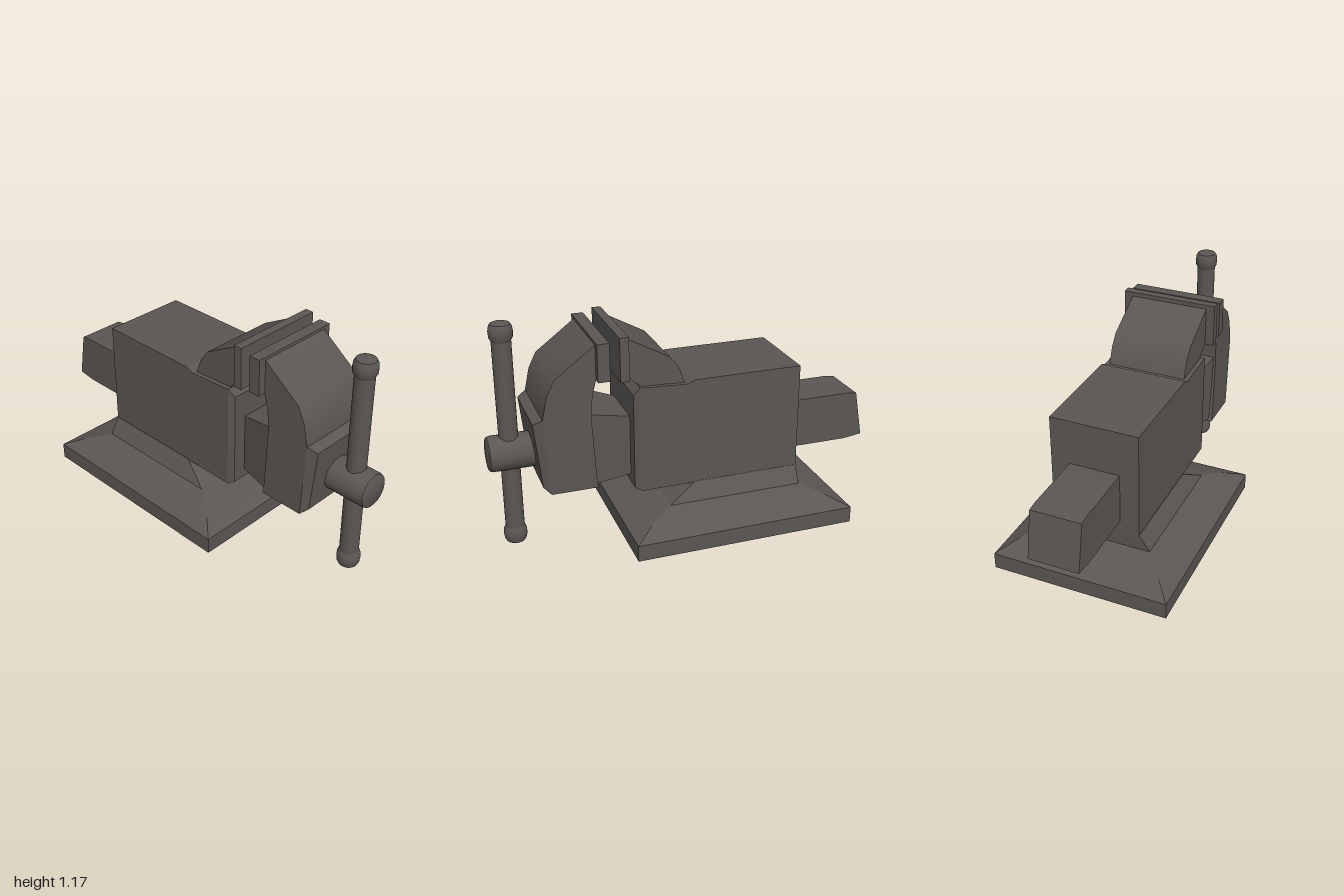
import * as THREE from 'three';
import { toCreasedNormals } from 'three/addons/utils/BufferGeometryUtils.js';

const castIron = new THREE.MeshStandardMaterial({ color: 0x5a5653 });
castIron.name = 'castIron';

// Rectangle facing +z; the top and bottom edges may sit at different depths
const ringZ = (w, y0, y1, zBottom, zTop = zBottom) => [
  [-w, y0, zBottom], [w, y0, zBottom], [w, y1, zTop], [-w, y1, zTop],
];
// Rectangle facing +y
const ringY = (w, z0, z1, y) => [[-w, y, z1], [w, y, z1], [w, y, z0], [-w, y, z0]];

// Skin a row of four-cornered rings and cap both ends
function loft(rings, crease = 0.2) {
  const pos = [];
  const quad = (a, b, c, d) => pos.push(...a, ...b, ...c, ...a, ...c, ...d);
  for (let r = 0; r < rings.length - 1; r++) {
    for (let i = 0; i < 4; i++) {
      const j = (i + 1) % 4;
      quad(rings[r][i], rings[r][j], rings[r + 1][j], rings[r + 1][i]);
    }
  }
  const first = rings[0], last = rings[rings.length - 1];
  quad(first[3], first[2], first[1], first[0]);
  quad(...last);
  const g = new THREE.BufferGeometry();
  g.setAttribute('position', new THREE.Float32BufferAttribute(pos, 3));
  g.computeVertexNormals();
  return toCreasedNormals(g, crease);
}

// Extrude a side profile of [z, y] points across the width
function profile(points, halfWidth) {
  const shape = new THREE.Shape(points.map(([z, y]) => new THREE.Vector2(z, y)));
  const g = new THREE.ExtrudeGeometry(shape, { depth: halfWidth * 2, bevelEnabled: false });
  g.translate(0, 0, -halfWidth).rotateY(-Math.PI / 2);
  return toCreasedNormals(g, 0.5);
}

// Turned part from [radius, height] points
function turned(points) {
  const g = new THREE.LatheGeometry(points.map(([r, y]) => new THREE.Vector2(r, y)), 32);
  return toCreasedNormals(g, 0.6);
}

export function createModel() {
  const vise = new THREE.Group();
  vise.name = 'benchVise';
  const add = (name, geometry, x = 0, y = 0, z = 0) => {
    const mesh = new THREE.Mesh(geometry, castIron);
    mesh.name = name;
    mesh.position.set(x, y, z);
    vise.add(mesh);
    return mesh;
  };

  // Mounting plate with a sloped shoulder
  add('base', loft([
    ringY(0.46, -0.78, 0.375, 0.03),
    ringY(0.46, -0.78, 0.375, 0.115),
    ringY(0.355, -0.65, 0.255, 0.175),
    ringY(0.285, -0.565, 0.155, 0.205),
  ], 0.25));

  // Neck between the plate and the body
  add('pedestal', loft([
    ringY(0.285, -0.56, 0.155, 0.2),
    ringY(0.23, -0.565, 0, 0.29),
  ]));

  // Body with a lowered front deck and a bevelled nose
  add('body', loft([
    ringZ(0.228, 0.285, 0.845, -0.565),
    ringZ(0.228, 0.285, 0.845, 0),
    ringZ(0.228, 0.285, 0.828, 0.035),
    ringZ(0.228, 0.285, 0.84, 0.28),
    ringZ(0.21, 0.3, 0.8, 0.31),
  ]));

  // Fixed jaw
  add('fixedJaw', profile([
    [0.04, 0.815], [0.28, 0.815], [0.28, 0.848], [0.34, 0.9], [0.34, 1.09],
    [0.12, 0.97], [0.075, 0.91],
  ], 0.205));
  add('fixedJawPlate', new THREE.BoxGeometry(0.5, 0.22, 0.045), 0, 1.0, 0.36);

  // Moving jaw
  add('movingJaw', profile([
    [0.49, 0.333], [0.73, 0.333], [0.755, 0.73], [0.73, 0.845], [0.69, 0.925],
    [0.49, 1.075], [0.49, 0.9], [0.51, 0.82], [0.52, 0.72], [0.5, 0.35],
  ], 0.205));
  add('movingJawPlate', new THREE.BoxGeometry(0.49, 0.19, 0.06), 0, 0.995, 0.46);
  add('jawFrontPad', loft([
    ringZ(0.205, 0.333, 0.73, 0.73, 0.755),
    ringZ(0.18, 0.365, 0.705, 0.765, 0.8),
  ]));

  // Sliding bar, flared toward the moving jaw and passing out of the back
  add('slideFront', loft([
    ringZ(0.135, 0.345, 0.655, 0.29),
    ringZ(0.195, 0.345, 0.725, 0.53),
  ]));
  add('slideRear', profile([
    [-0.55, 0.345], [-0.9, 0.345], [-1, 0.358], [-0.955, 0.603], [-0.9, 0.61], [-0.55, 0.61],
  ].reverse(), 0.13));

  // Screw head
  const screw = add('screwHead', turned([
    [0, 0], [0.09, 0], [0.09, 0.225], [0.086, 0.238], [0.075, 0.245], [0, 0.245],
  ]), 0, 0.5, 0.755);
  screw.rotation.x = Math.PI / 2;

  // Turning handle with a knob at each end
  add('handle', new THREE.CylinderGeometry(0.048, 0.048, 1.03, 32, 1, true), 0, 0.583, 0.888);
  const knob = turned([
    [0.048, 0], [0.057, 0.018], [0.059, 0.045], [0.056, 0.068], [0.048, 0.083], [0.036, 0.088], [0, 0.088],
  ]);
  add('upperKnob', knob, 0, 1.078, 0.888);
  add('lowerKnob', knob, 0, 0.088, 0.888).rotation.x = Math.PI;

  return vise;
}
